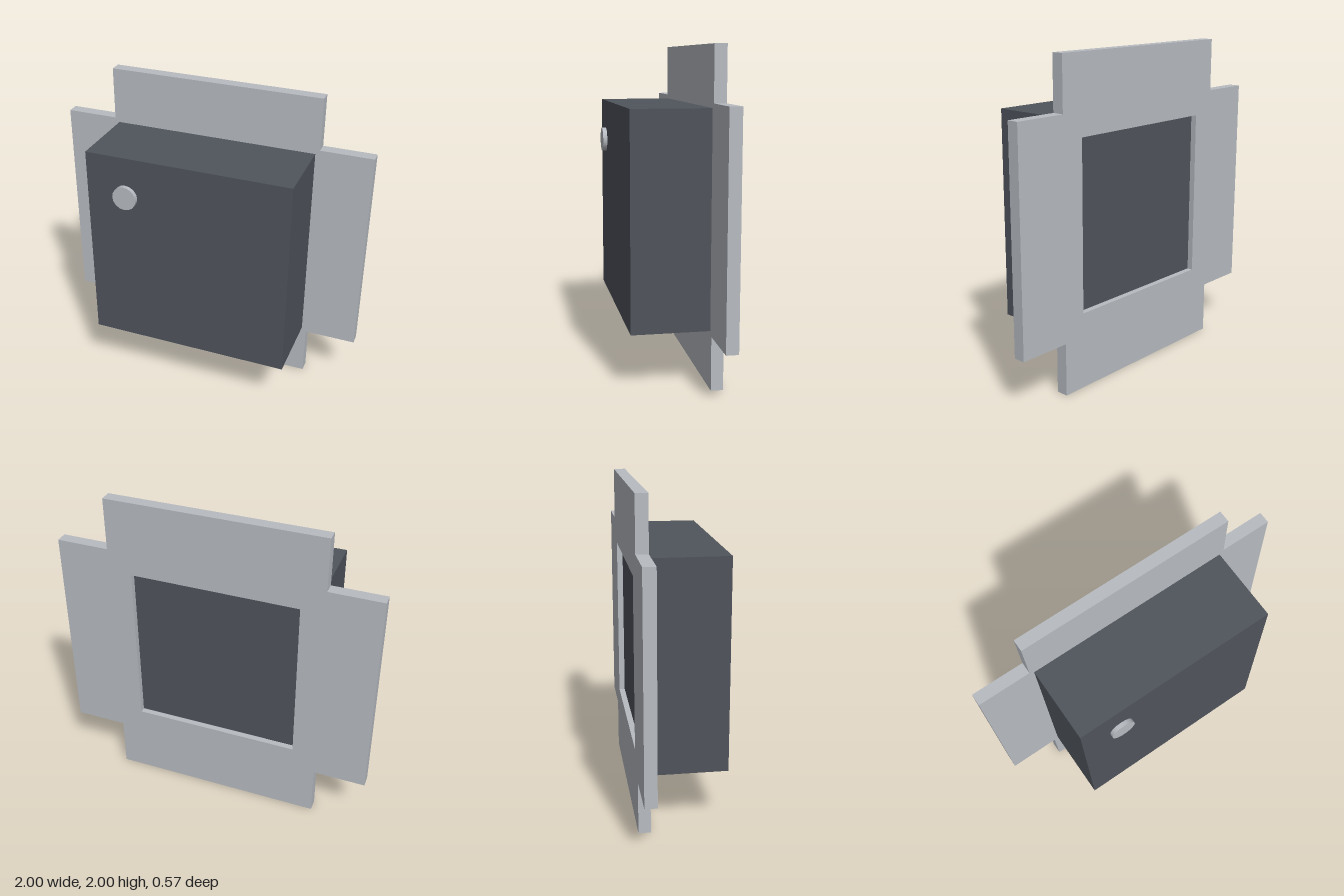
import * as THREE from 'three';

export function createModel() {
  const group = new THREE.Group();
  const lightGrey = new THREE.MeshStandardMaterial({ color: 0xb8bcc2 });
  const darkGrey = new THREE.MeshStandardMaterial({ color: 0x50545c });

  const add = (name, geometry, material, x, y, z) => {
    const mesh = new THREE.Mesh(geometry, material);
    mesh.name = name;
    mesh.position.set(x, y, z);
    group.add(mesh);
    return mesh;
  };

  // Cross-shaped back plate with a square window
  const a = 0.672, h = 0.525;
  const outline = [
    [-a, -1], [a, -1], [a, -a], [1, -a], [1, a], [a, a],
    [a, 1], [-a, 1], [-a, a], [-1, a], [-1, -a], [-a, -a],
  ];
  const toPoints = (list) => list.map(([x, y]) => new THREE.Vector2(x, y));
  const shape = new THREE.Shape(toPoints(outline));
  shape.holes.push(new THREE.Path(toPoints([[-h, -h], [-h, h], [h, h], [h, -h]])));
  const plate = new THREE.ExtrudeGeometry(shape, { depth: 0.074, bevelEnabled: false });
  add('backPlate', plate, lightGrey, 0, 1, -0.287);

  // Package body, sunk halfway into the plate
  const front = 0.255, back = -0.25;
  add('body', new THREE.BoxGeometry(1.29, 1.29, front - back), darkGrey, 0, 1, (front + back) / 2);

  // Round corner marker floating just off the front face
  const disc = new THREE.CylinderGeometry(0.077, 0.077, 0.027, 16).rotateX(Math.PI / 2);
  add('cornerMarker', disc, lightGrey, -0.388, 1.39, 0.2735);

  return group;
}
